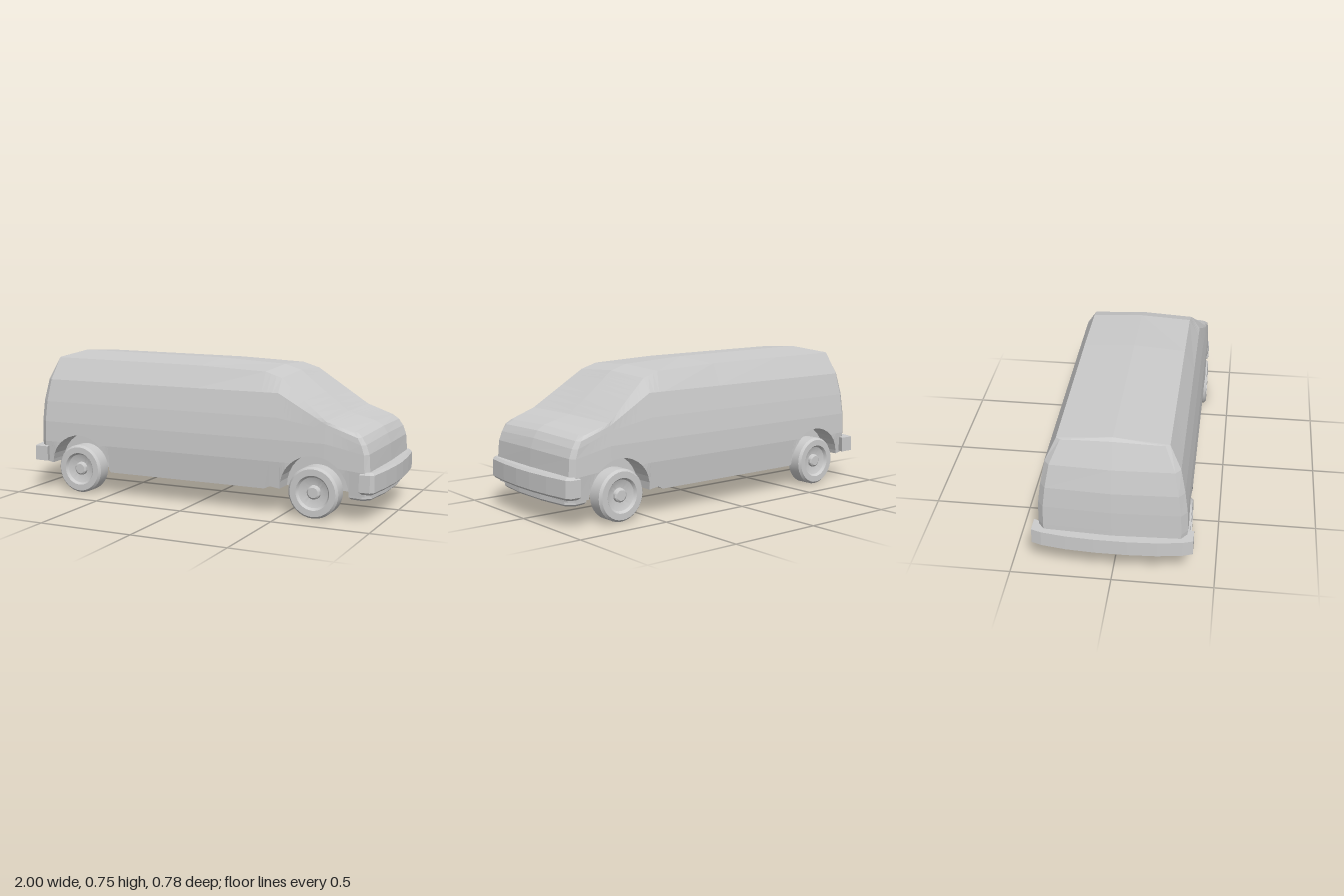
import * as THREE from 'three';
import { toCreasedNormals } from 'three/addons/utils/BufferGeometryUtils.js';

const grey = new THREE.MeshStandardMaterial({ color: 0xcccccc });
const greyFlat = new THREE.MeshStandardMaterial({ color: 0xcccccc, flatShading: true });
const AXLES = [-0.69, 0.665], WHEEL_Y = 0.133, ARCH_R = 0.18, WELL = 0.25;

// Piecewise linear lookup in [input, output] pairs
function lookup(pairs, v) {
  if (v <= pairs[0][0]) return pairs[0][1];
  for (let i = 1; i < pairs.length; i++) {
    const [a, p] = pairs[i - 1], [b, q] = pairs[i];
    if (v <= b) return p + (q - p) * (v - a) / (b - a);
  }
  return pairs[pairs.length - 1][1];
}
const sideWidth = y => lookup([[0.12, 0.347], [0.25, 0.362], [0.38, 0.357], [0.49, 0.343], [0.61, 0.32], [0.73, 0.265]], y);
const floorY = x => lookup([[-0.96, 0.165], [-0.87, 0.15], [-0.5, 0.125], [0.4, 0.125], [0.43, 0.14], [0.5, 0.13]], x);

// Lower edge of the side panel, lifted over the wheels
function sillY(x) {
  let y = floorY(x);
  for (const c of AXLES) {
    const d = Math.abs(x - c);
    if (d < ARCH_R) y = Math.max(y, 0.135 + Math.sqrt(ARCH_R ** 2 - d * d));
  }
  return y;
}

// Body stations. Rows: sill, four side levels, roof edge, roof centre (x for all, y for the last six);
// e is the half width of the roof edge, k narrows the whole station
const row7 = x => Array(7).fill(x);
const rearX = [-0.91, -0.91, -0.91, -0.905, -0.89, -0.865, -0.862];
const rearY = [0.27, 0.38, 0.49, 0.61, 0.728, 0.748];
const noseX = [0.925, 0.925, 0.92, 0.905, 0.885, 0.86, 0.87];
const noseY = [0.25, 0.34, 0.385, 0.42, 0.442, 0.454];
const KEYS = [
  { x: [-0.96, -0.96, -0.96, -0.955, -0.932, -0.885, -0.862], y: [0.27, 0.38, 0.49, 0.61, 0.738, 0.748], e: 0.265, k: 0 },
  { x: rearX.map((x, i) => x - [0.036, 0.036, 0.036, 0.036, 0.03, 0.012, 0][i]), y: rearY, e: 0.265, k: 0.92 },
  { x: rearX, y: rearY, e: 0.265, k: 1 },
  { x: row7(0), y: [0.27, 0.38, 0.49, 0.61, 0.722, 0.74], e: 0.267, k: 1 },
  { x: row7(0.37), y: [0.27, 0.38, 0.49, 0.61, 0.708, 0.722], e: 0.268, k: 1 },
  { x: row7(0.46), y: [0.27, 0.38, 0.49, 0.61, 0.68, 0.695], e: 0.272, k: 1 },
  { x: row7(0.72), y: [0.27, 0.38, 0.45, 0.475, 0.488, 0.492], e: 0.342, k: 1 },
  { x: noseX, y: noseY, e: 0.335, k: 0.985 },
  { x: noseX.map((x, i) => x + [0.022, 0.022, 0.02, 0.018, 0.015, 0.008, 0][i]), y: noseY, e: 0.33, k: 0.91 },
  { x: [0.958, 0.956, 0.95, 0.932, 0.91, 0.878, 0.87], y: [0.25, 0.345, 0.395, 0.43, 0.449, 0.454], e: 0.33, k: 0 },
];

// Station at a sill position, blended from the two keys around it
function stationAt(s) {
  let i = 1;
  while (i < KEYS.length - 1 && KEYS[i].x[0] < s) i++;
  const a = KEYS[i - 1], b = KEYS[i], t = (s - a.x[0]) / (b.x[0] - a.x[0]);
  const mix = (p, q) => p + (q - p) * t;
  return { x: a.x.map((v, j) => mix(v, b.x[j])), y: a.y.map((v, j) => mix(v, b.y[j])), e: mix(a.e, b.e), k: mix(a.k, b.k) };
}

// Closed ring: floor, wheel well, side, roof, then the mirrored side
function ringAt(s) {
  const { x, y, e, k } = stationAt(s), f = floorY(s), sill = sillY(s), x0 = x[0];
  const half = [[x0, f, 0], [x0, f, WELL * k], [x0, sill, WELL * k], [x0, sill, sideWidth(sill) * k]];
  for (let i = 0; i < 4; i++) {
    const h = Math.max(y[i], sill);
    half.push([x[i + 1], h, sideWidth(h) * k]);
  }
  half.push([x[5], y[4], e * k], [x[6], y[5], 0]);
  const other = half.slice(1, -1).reverse().map(([a, b, c]) => [a, b, -c]);
  return [...half, ...other];
}

function bodyGeometry() {
  const cuts = KEYS.map(key => key.x[0]);
  for (const c of AXLES) for (let i = 0; i <= 16; i++) cuts.push(c - ARCH_R * Math.cos(Math.PI * i / 16));
  cuts.push(-0.5, 0.4, 0.43);
  cuts.sort((a, b) => a - b);
  const rings = cuts.map(ringAt), pos = [];
  for (let i = 0; i < rings.length - 1; i++) {
    const n = rings[i].length;
    for (let j = 0; j < n; j++) {
      const a = rings[i][j], b = rings[i + 1][j], c = rings[i + 1][(j + 1) % n], d = rings[i][(j + 1) % n];
      pos.push(...a, ...b, ...c, ...a, ...c, ...d);
    }
  }
  const geo = new THREE.BufferGeometry();
  geo.setAttribute('position', new THREE.Float32BufferAttribute(pos, 3));
  geo.computeVertexNormals();
  return geo;
}

// Symmetric bar from half a plan outline of [x, z], optionally bevelled
function bar(name, plan, y0, y1, bevel = 0) {
  const mirrored = plan.slice().reverse().map(([x, z]) => [x, -z]);
  const shape = new THREE.Shape([...plan, ...mirrored].map(([x, z]) => new THREE.Vector2(x, z)));
  const geo = new THREE.ExtrudeGeometry(shape, {
    depth: y1 - y0 - 2 * bevel, bevelEnabled: bevel > 0, bevelThickness: bevel,
    bevelSize: bevel, bevelOffset: -bevel, bevelSegments: 1,
  });
  geo.rotateX(-Math.PI / 2).translate(0, y0 + bevel, 0);
  const mesh = new THREE.Mesh(geo, greyFlat);
  mesh.name = name;
  return mesh;
}

// Tyre, dished rim and hub in one turned profile
function wheelGeometry() {
  const profile = [[0, -0.05], [0.118, -0.05], [0.131, -0.036], [0.131, 0.037], [0.12, 0.05], [0.088, 0.05],
    [0.078, 0.036], [0.04, 0.022], [0.036, 0.022], [0.034, 0.036], [0.026, 0.042], [0, 0.042]];
  const geo = new THREE.LatheGeometry(profile.map(([r, h]) => new THREE.Vector2(r, h)), 32);
  geo.rotateX(Math.PI / 2);
  return toCreasedNormals(geo, 0.4);
}

export function createModel() {
  const van = new THREE.Group();
  van.name = 'van';

  const body = new THREE.Mesh(bodyGeometry(), greyFlat);
  body.name = 'body';
  van.add(body);

  // Bumpers and front valance
  van.add(bar('rearBumper', [[-1, 0.08], [-0.992, 0.22], [-0.975, 0.34], [-0.958, 0.39], [-0.88, 0.39], [-0.91, 0.3], [-0.93, 0.1]], 0.165, 0.245));
  van.add(bar('frontBumper', [[0.92, 0.1], [0.9, 0.362], [0.955, 0.362], [0.972, 0.34], [0.99, 0.2], [1, 0.06]], 0.145, 0.255, 0.012));
  van.add(bar('frontValance', [[0.83, 0.3], [0.9, 0.312], [0.94, 0.28], [0.962, 0.1]], 0.102, 0.148, 0.01));

  // Wheels
  const wheelGeo = wheelGeometry();
  AXLES.forEach((x, i) => {
    for (const side of [1, -1]) {
      const wheel = new THREE.Mesh(wheelGeo, grey);
      wheel.name = (i ? 'front' : 'rear') + 'Wheel' + (side > 0 ? 'Near' : 'Far');
      wheel.position.set(x, WHEEL_Y - 0.002, side * 0.318);
      if (side < 0) wheel.rotation.y = Math.PI;
      van.add(wheel);
    }
  });
  return van;
}
